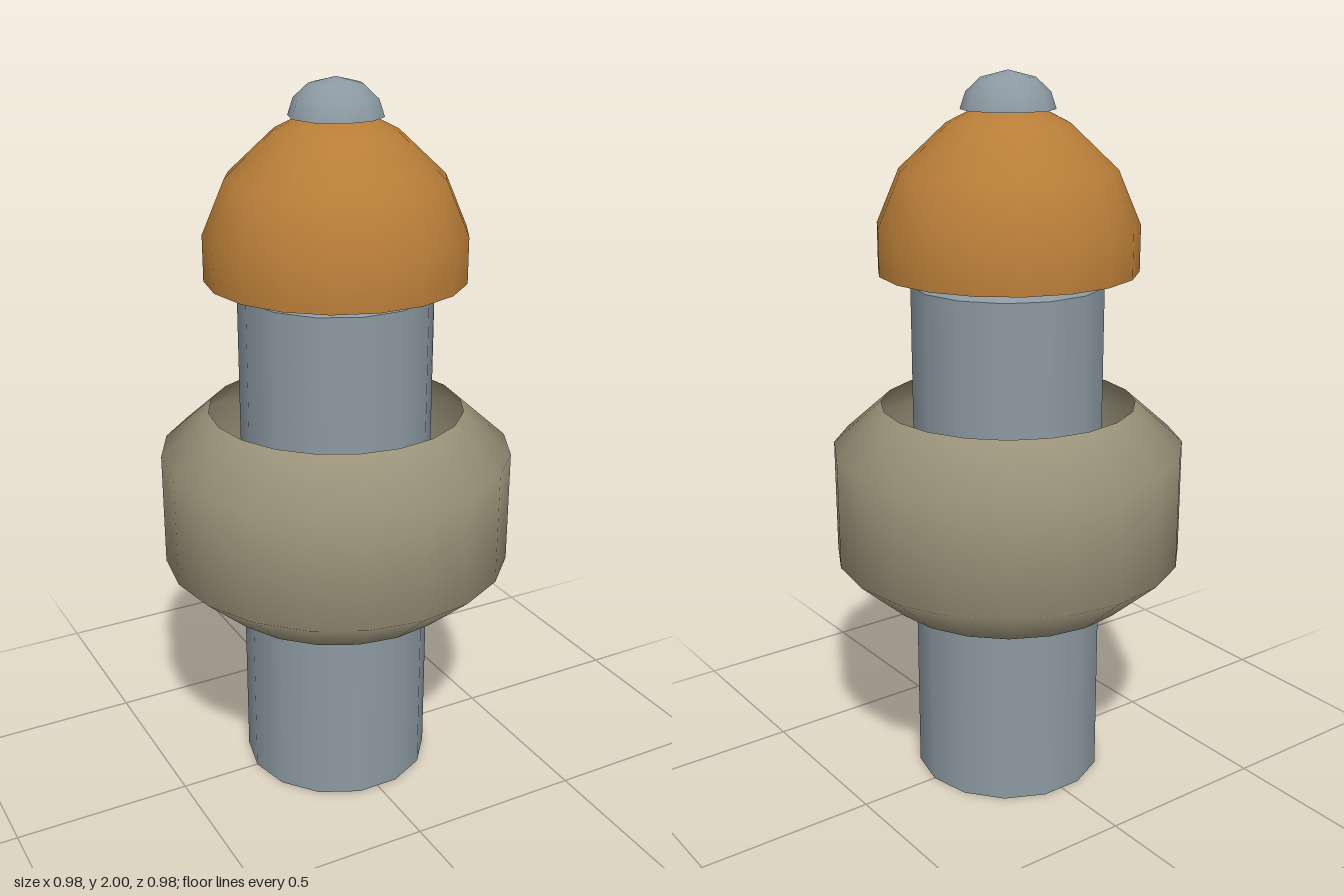
import * as THREE from 'three';

const paint = (name, color, side = THREE.FrontSide) => {
  const m = new THREE.MeshStandardMaterial({ color, side });
  m.name = name;
  return m;
};

export function createModel() {
  const group = new THREE.Group();
  const steel = paint('steel grey', 0x8c99a2);
  const taupe = paint('taupe', 0x9a9279, THREE.DoubleSide);
  const amber = paint('amber', 0xb87d38, THREE.DoubleSide);

  const add = (name, geometry, material, y = 0) => {
    const mesh = new THREE.Mesh(geometry, material);
    mesh.name = name;
    mesh.position.y = y;
    group.add(mesh);
    return mesh;
  };
  // Turned shapes begin with a corner on the x axis
  const turn = (profile, sides) => new THREE.LatheGeometry(
    profile.map(([r, y]) => new THREE.Vector2(r, y)), sides, Math.PI / 2);
  const drum = (top, bottom, height, sides) =>
    new THREE.CylinderGeometry(top, bottom, height, sides).rotateY(Math.PI / 2);

  // Column with a bevelled top
  add('column', drum(0.267, 0.267, 1.44, 14), steel, 0.72);
  add('columnBevel', drum(0.235, 0.267, 0.037, 14), steel, 1.4585);

  // Open collar around the column
  add('collar', turn([[0.355, 0.545], [0.49, 0.665], [0.49, 0.985], [0.355, 1.105]], 20), taupe);

  // Hollow domed cap
  add('cap', turn([
    [0.355, 1.475], [0.355, 1.6], [0.293, 1.745], [0.165, 1.865], [0.09, 1.903], [0, 1.912],
  ], 18), amber);

  // Knob on top, closed underneath
  add('knob', turn([[0.127, 1.9], [0.112, 1.945], [0.072, 1.982], [0, 2]], 10), steel);
  add('knobBase', new THREE.CircleGeometry(0.127, 10).rotateX(Math.PI / 2), steel, 1.9);

  return group;
}
